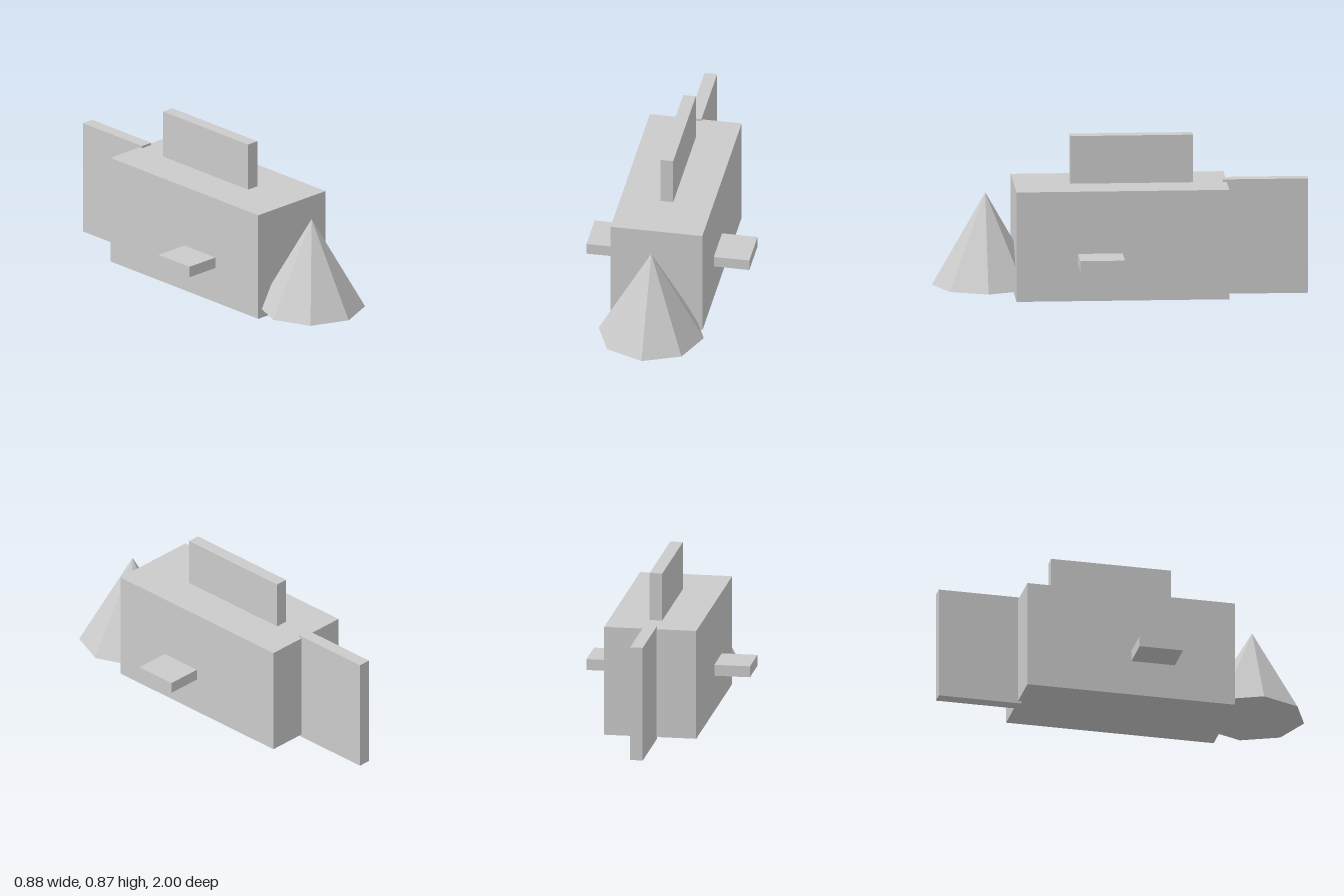
import * as THREE from 'three';

const material = new THREE.MeshStandardMaterial({ color: 0xcccccc, flatShading: true });

// Box given by its extents [min, max] along each axis
function block(name, [x0, x1], [y0, y1], [z0, z1]) {
  const mesh = new THREE.Mesh(new THREE.BoxGeometry(x1 - x0, y1 - y0, z1 - z0), material);
  mesh.position.set((x0 + x1) / 2, (y0 + y1) / 2, (z0 + z1) / 2);
  mesh.name = name;
  return mesh;
}

export function createModel() {
  const model = new THREE.Group();
  model.name = 'fish';

  // Main body, dorsal fin and tail fin
  model.add(
    block('body', [-0.248, 0.248], [0.014, 0.607], [-0.567, 0.565]),
    block('dorsalFin', [-0.034, 0.034], [0.6, 0.865], [-0.387, 0.265]),
    block('tailFin', [-0.034, 0.034], [0, 0.62], [-1, -0.548])
  );

  // Mirrored side fins
  const left = block('leftFin', [0.24, 0.44], [0.21, 0.27], [0, 0.237]);
  const right = left.clone();
  right.name = 'rightFin';
  right.position.x *= -1;
  model.add(left, right);

  // Eight-sided upright cone at the nose
  const nose = new THREE.Mesh(new THREE.ConeGeometry(0.284, 0.497, 8), material);
  nose.position.set(0, 0.063 + 0.497 / 2, 0.716);
  nose.name = 'nose';
  model.add(nose);

  return model;
}
